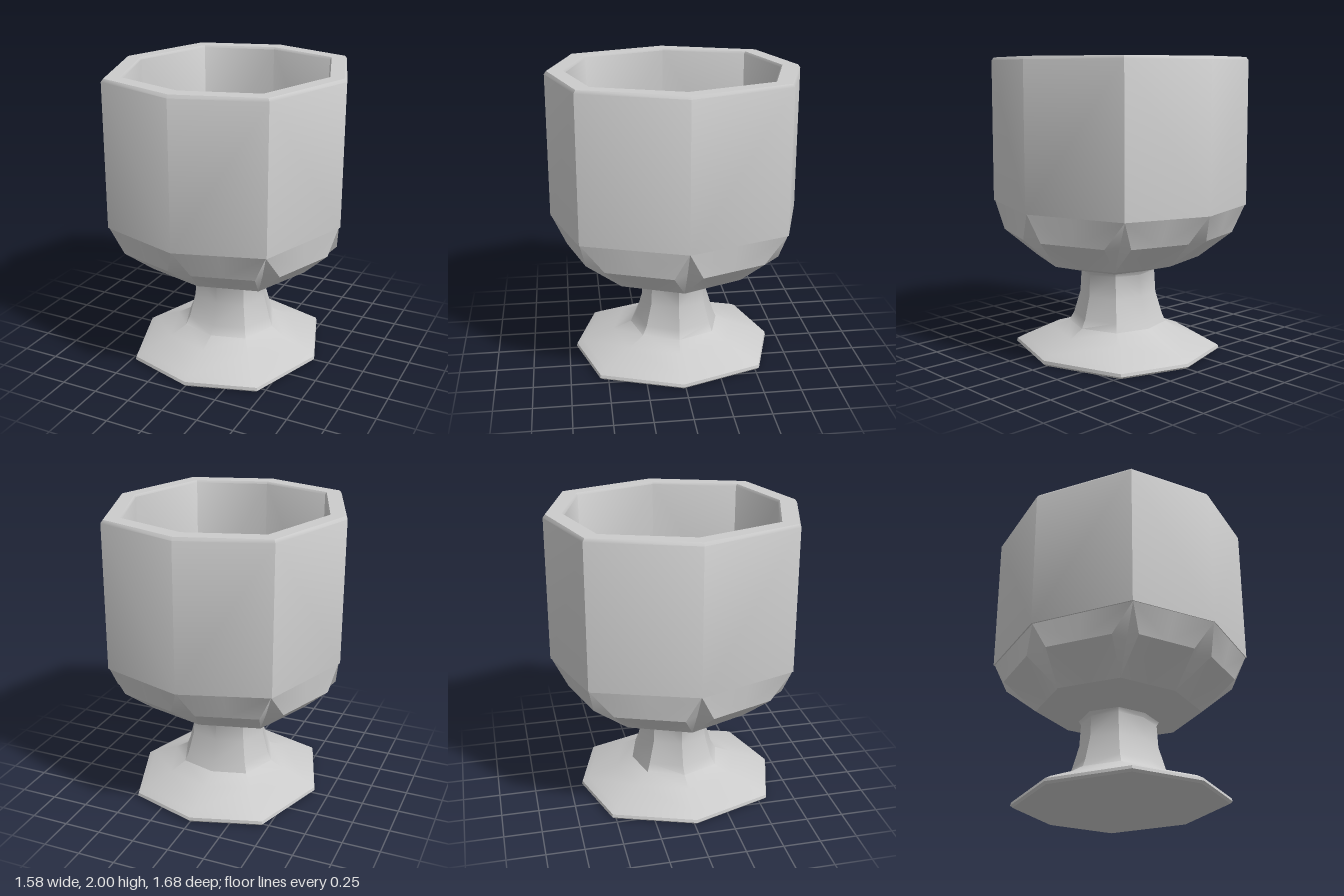
import * as THREE from 'three';
import { toCreasedNormals } from 'three/addons/utils/BufferGeometryUtils.js';

// Corners of the slightly elongated octagon, for unit radii, going from +x to +z
const OCTAGON = [[1, 0], [0.71, 0.79], [0, 1], [-0.71, 0.79], [-1, 0], [-0.71, -0.79], [0, -1], [0.71, -0.79]];

// One octagonal cross-section at height y
function ring(y, rx, rz, cz = 0) {
  return OCTAGON.map(([x, z]) => new THREE.Vector3(x * rx, y, z * rz + cz));
}

// Four points per side, at the given fractions along it; corners may be replaced by another ring
function dividedRing(sides, fractions, corners = sides) {
  return sides.flatMap((p, i) => fractions.map((t) =>
    t === 0 ? corners[i] : t === 1 ? corners[(i + 1) % 8] : p.clone().lerp(sides[(i + 1) % 8], t)));
}

// Skin the cross-sections, leaving out collapsed triangles
function loft(name, rings, material, creaseDegrees) {
  const positions = [];
  const triangle = (a, b, c) => {
    const area = b.clone().sub(a).cross(c.clone().sub(a)).length();
    if (area > 1e-7) for (const p of [a, b, c]) positions.push(p.x, p.y, p.z);
  };
  for (let r = 0; r < rings.length - 1; r++) {
    const low = rings[r], high = rings[r + 1], n = low.length;
    for (let i = 0; i < n; i++) {
      const j = (i + 1) % n;
      // Mirror the diagonal on alternate sides to keep the facets symmetric
      if (i % 2) {
        triangle(low[i], high[i], low[j]);
        triangle(low[j], high[i], high[j]);
      } else {
        triangle(low[i], high[j], low[j]);
        triangle(low[i], high[i], high[j]);
      }
    }
  }
  const geometry = new THREE.BufferGeometry();
  geometry.setAttribute('position', new THREE.Float32BufferAttribute(positions, 3));
  geometry.computeVertexNormals();
  const mesh = new THREE.Mesh(toCreasedNormals(geometry, THREE.MathUtils.degToRad(creaseDegrees)), material);
  mesh.name = name;
  return mesh;
}

export function createModel() {
  const model = new THREE.Group();
  model.name = 'goblet';
  const material = new THREE.MeshStandardMaterial({ color: 0xcccccc });

  // Flared foot, waisted stem and the shallow underside of the bowl
  model.add(loft('footAndStem', [
    ring(0, 0, 0, 0.015),
    ring(0, 0.635, 0.67, 0.015),
    ring(0.015, 0.65, 0.685, 0.015),
    ring(0.035, 0.645, 0.68, 0.015),
    ring(0.06, 0.6, 0.635, 0.015),
    ring(0.135, 0.42, 0.425, 0.01),
    ring(0.19, 0.325, 0.305, 0.005),
    ring(0.25, 0.3, 0.275),
    ring(0.4, 0.262, 0.23),
    ring(0.55, 0.255, 0.22),
    ring(0.575, 0.27, 0.235),
    ring(0.65, 0.55, 0.5),
  ], material, 40));

  // Cut facets: raised panels tapering down to a point, with recessed kites at the corners
  const bottom = ring(0.65, 0.55, 0.5);
  const middle = ring(0.84, 0.775, 0.76);
  const top = ring(1.02, 0.78, 0.835);
  const recess = ring(0.84, 0.675, 0.675);
  model.add(loft('facetedBowl', [
    dividedRing(bottom, [0, 0.5, 0.5, 0.5]),
    dividedRing(middle, [0, 0.15, 0.5, 0.85], recess),
    dividedRing(top, [0, 0, 0.5, 1]),
  ], material, 25));

  // Straight octagonal cup with a bevelled rim, hollow inside down to a pointed floor
  model.add(loft('cup', [
    ring(1.02, 0.78, 0.835),
    ring(1.02, 0.79, 0.84),
    ring(1.98, 0.79, 0.835),
    ring(2, 0.775, 0.82),
    ring(2, 0.68, 0.715),
    ring(1.985, 0.67, 0.703),
    ring(1.05, 0.665, 0.698),
    ring(0.72, 0, 0),
  ], material, 40));

  return model;
}
